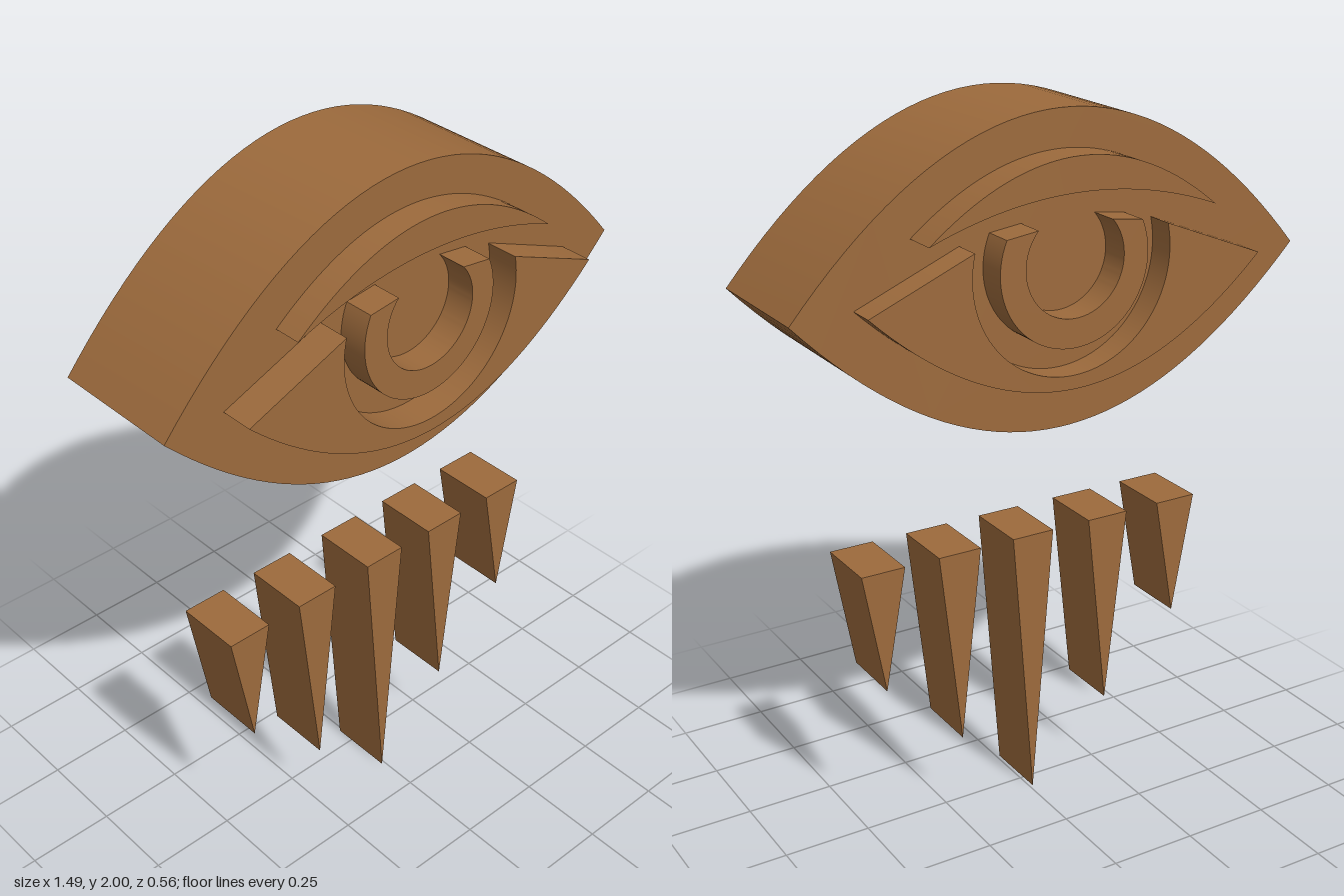
import * as THREE from 'three';
import { toCreasedNormals } from 'three/addons/utils/BufferGeometryUtils.js';

export function createModel() {
  const model = new THREE.Group();
  const wood = new THREE.MeshStandardMaterial({ color: 0x9c6a3c });
  wood.name = 'brown wood';

  // Extrude an outline from zBack to zFront, keeping the rims sharp
  function slab(name, shape, zBack, zFront) {
    const geometry = new THREE.ExtrudeGeometry(shape, {
      depth: zFront - zBack, bevelEnabled: false, curveSegments: 40,
    });
    geometry.translate(0, 0, zBack);
    const mesh = new THREE.Mesh(toCreasedNormals(geometry, 0.5), wood);
    mesh.name = name;
    model.add(mesh);
  }

  // Almond body: two parabolic arcs meeting at the corners
  const body = new THREE.Shape();
  body.moveTo(-0.747, 1.563);
  body.quadraticCurveTo(0, 0.773, 0.743, 1.563);
  body.quadraticCurveTo(0, 2.437, -0.747, 1.563);
  slab('eyeBody', body, -0.188, 0.188);

  // Crescent upper lid, standing proud on both faces
  const lid = new THREE.Shape();
  lid.moveTo(-0.412, 1.73);
  lid.quadraticCurveTo(0.004, 1.89, 0.42, 1.73);
  lid.quadraticCurveTo(0.004, 2.07, -0.412, 1.73);
  slab('upperLid', lid, -0.283, 0.265);

  // Eye white with a round opening for the iris
  const white = new THREE.Shape();
  white.moveTo(-0.575, 1.575);
  white.quadraticCurveTo(0, 1.02, 0.575, 1.575);
  white.lineTo(0.288, 1.693);
  white.absarc(0.004, 1.625, 0.29, 0.237, -Math.PI - 0.237, true);
  white.closePath();
  slab('eyeWhite', white, -0.265, 0.281);

  // Iris ring, open at the top
  const iris = new THREE.Shape();
  iris.absarc(0.004, 1.627, 0.217, 0.42, -Math.PI - 0.42, true);
  iris.absarc(0.004, 1.632, 0.144, -Math.PI - 0.72, 0.72, false);
  iris.closePath();
  slab('irisRing', iris, -0.272, 0.272);

  // Pointed lashes below: [centre x, tip y]
  const lashes = [[-0.489, 0.45], [-0.256, 0.225], [-0.01, 0], [0.221, 0.234], [0.452, 0.45]];
  lashes.forEach(([x, tip], i) => {
    const lash = new THREE.Shape();
    lash.moveTo(x - 0.064, 0.805);
    lash.lineTo(x, tip);
    lash.lineTo(x + 0.064, 0.805);
    lash.closePath();
    slab(`lash${i + 1}`, lash, -0.053, 0.137);
  });

  return model;
}
